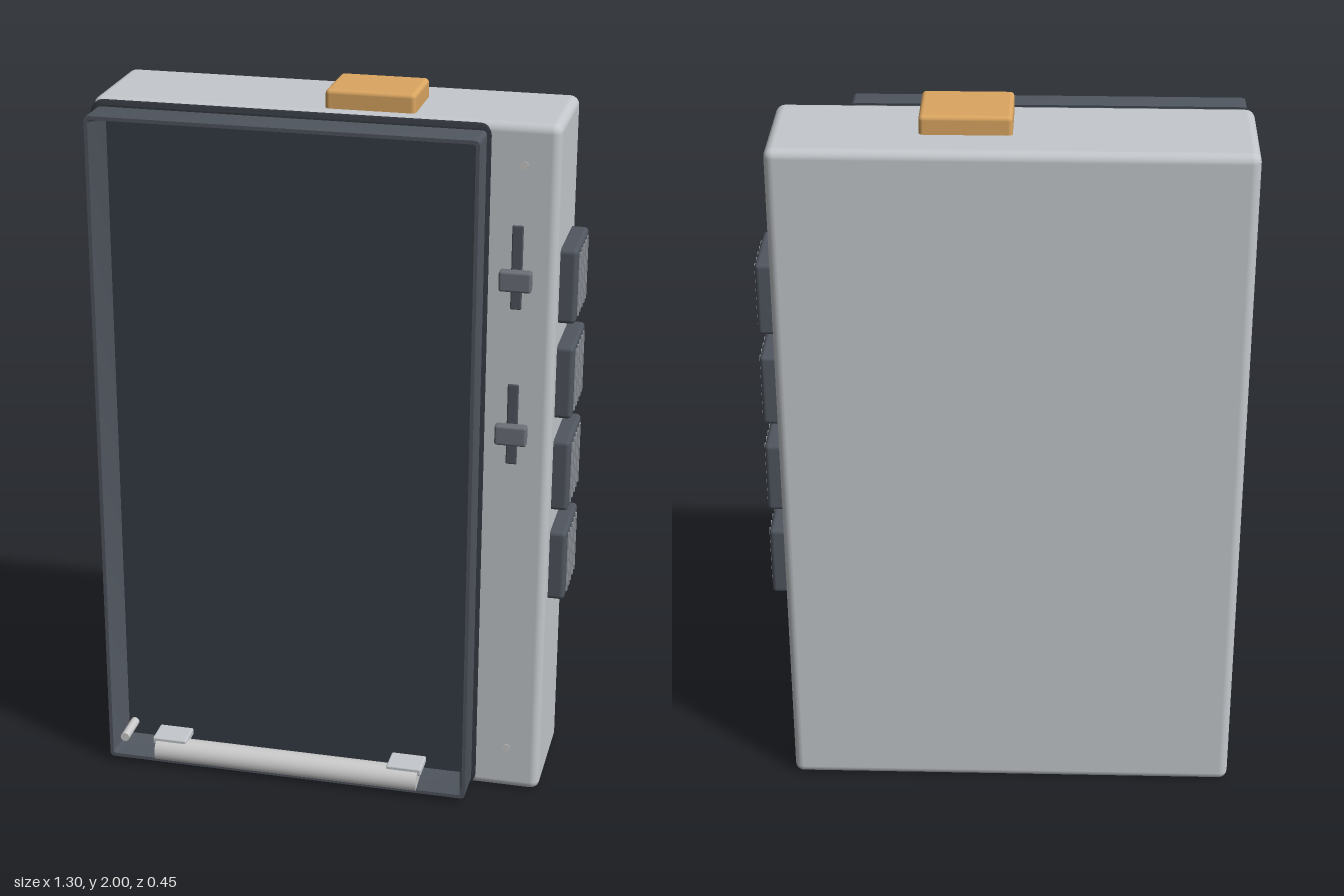
import * as THREE from 'three';
import { RoundedBoxGeometry } from 'three/addons/geometries/RoundedBoxGeometry.js';
import { toCreasedNormals } from 'three/addons/utils/BufferGeometryUtils.js';

const material = (color) => new THREE.MeshStandardMaterial({ color });
const shell = material(0xc4c8cc);
const dark = material(0x50565f);
const seal = material(0x30353c);
const glass = material(0x363c46);
const knobGrey = material(0x6c7078);
const ribGrey = material(0x9a9fa6);
const amber = material(0xdba661);
const white = material(0xeeeeee);

export function createModel() {
  const root = new THREE.Group();

  function add(name, geometry, mat, parent = root) {
    const mesh = new THREE.Mesh(geometry, mat);
    mesh.name = name;
    parent.add(mesh);
    return mesh;
  }

  // Box given by its limits on each axis, with optional rounded edges
  function box(name, [x0, x1], [y0, y1], [z0, z1], mat, radius = 0, parent = root) {
    const size = [x1 - x0, y1 - y0, z1 - z0];
    const geometry = radius
      ? new RoundedBoxGeometry(...size, 3, radius)
      : new THREE.BoxGeometry(...size);
    const mesh = add(name, geometry, mat, parent);
    mesh.position.set((x0 + x1) / 2, (y0 + y1) / 2, (z0 + z1) / 2);
    return mesh;
  }

  // Small round head facing forward
  function screw(name, x, y, z, radius, depth) {
    const mesh = add(name, new THREE.CylinderGeometry(radius, radius, depth, 16), white);
    mesh.rotation.x = Math.PI / 2;
    mesh.position.set(x, y, z);
  }

  // Rounded rectangle loop, counter-clockwise seen from the front
  function loop([x0, x1, y0, y1, z, r]) {
    const points = [];
    const corners = [[x1 - r, y1 - r], [x0 + r, y1 - r], [x0 + r, y0 + r], [x1 - r, y0 + r]];
    corners.forEach(([cx, cy], quarter) => {
      for (let i = 0; i <= 4; i++) {
        const a = (quarter + i / 4) * Math.PI / 2;
        points.push([cx + r * Math.cos(a), cy + r * Math.sin(a), z]);
      }
    });
    return points;
  }

  // Skin joining successive loops
  function loft(sections) {
    const rings = sections.map(loop);
    const n = rings[0].length;
    const index = [];
    for (let s = 0; s < rings.length - 1; s++) {
      for (let i = 0; i < n; i++) {
        const a = s * n + i;
        const b = s * n + (i + 1) % n;
        index.push(a, b, b + n, a, b + n, a + n);
      }
    }
    const geometry = new THREE.BufferGeometry();
    geometry.setAttribute('position', new THREE.Float32BufferAttribute(rings.flat(2), 3));
    geometry.setIndex(index);
    return toCreasedNormals(geometry, Math.PI / 6);
  }

  // Main case and its top button
  box('case', [-0.65, 0.6], [0.005, 1.95], [-0.225, 0.105], shell, 0.025);
  box('topButton', [-0.025, 0.215], [1.93, 2], [-0.11, 0.075], amber, 0.012);

  // Display: seal against the case, hood with tapered inner walls, recessed panel
  add('displaySeal', loft([
    [-0.65, 0.42, 0.01, 1.945, 0.1, 0.03],
    [-0.65, 0.42, 0.01, 1.945, 0.114, 0.03],
    [-0.64, 0.41, 0.02, 1.935, 0.12, 0.025],
    [-0.61, 0.385, 0.05, 1.905, 0.12, 0.01],
  ]), seal);
  add('displayHood', loft([
    [-0.635, 0.41, 0.022, 1.93, 0.115, 0.012],
    [-0.635, 0.41, 0.022, 1.93, 0.22, 0.012],
    [-0.625, 0.4, 0.032, 1.92, 0.22, 0.008],
    [-0.605, 0.38, 0.052, 1.9, 0.125, 0.005],
  ]), dark);
  box('displayPanel', [-0.615, 0.39], [0.042, 1.91], [0.1, 0.127], glass);
  screw('displayPin', -0.588, 0.09, 0.174, 0.013, 0.098);

  // Light bar across the lower edge, held by two clips
  const bar = add('lightBar', new THREE.CylinderGeometry(0.037, 0.037, 0.77, 32), white);
  bar.rotation.z = Math.PI / 2;
  bar.position.set(-0.115, 0.047, 0.188);
  for (const x of [-0.46, 0.23]) {
    box('lightBarClip', [x - 0.05, x + 0.05], [0.068, 0.09], [0.125, 0.205], shell, 0.005);
  }

  // Two sliders on the front strip
  for (const [bottom, knobY] of [[1.45, 1.537], [1.01, 1.105]]) {
    const slider = new THREE.Group();
    slider.name = 'slider';
    root.add(slider);
    box('sliderSlot', [0.48, 0.51], [bottom, bottom + 0.23], [0.09, 0.109], dark, 0.004, slider);
    box('sliderStem', [0.48, 0.515], [knobY - 0.018, knobY + 0.018], [0.1, 0.125], knobGrey, 0, slider);
    box('sliderKnob', [0.453, 0.539], [knobY - 0.028, knobY + 0.028], [0.114, 0.145], knobGrey, 0.007, slider);
  }
  for (const y of [0.135, 1.84]) screw('caseScrew', 0.505, y, 0.104, 0.012, 0.006);

  // Four ribbed buttons on the side
  for (let i = 0; i < 4; i++) {
    const y = 0.59 + i * 0.27;
    const button = new THREE.Group();
    button.name = 'sideButton';
    root.add(button);
    box('buttonBody', [0.57, 0.645], [y, y + 0.205], [-0.165, 0.052], dark, 0.012, button);
    for (let k = 0; k < 5; k++) {
      const z = 0.015 - k * 0.035;
      box('buttonRib', [0.63, 0.649], [y + 0.015, y + 0.19], [z - 0.004, z + 0.004], ribGrey, 0, button);
    }
  }

  return root;
}
